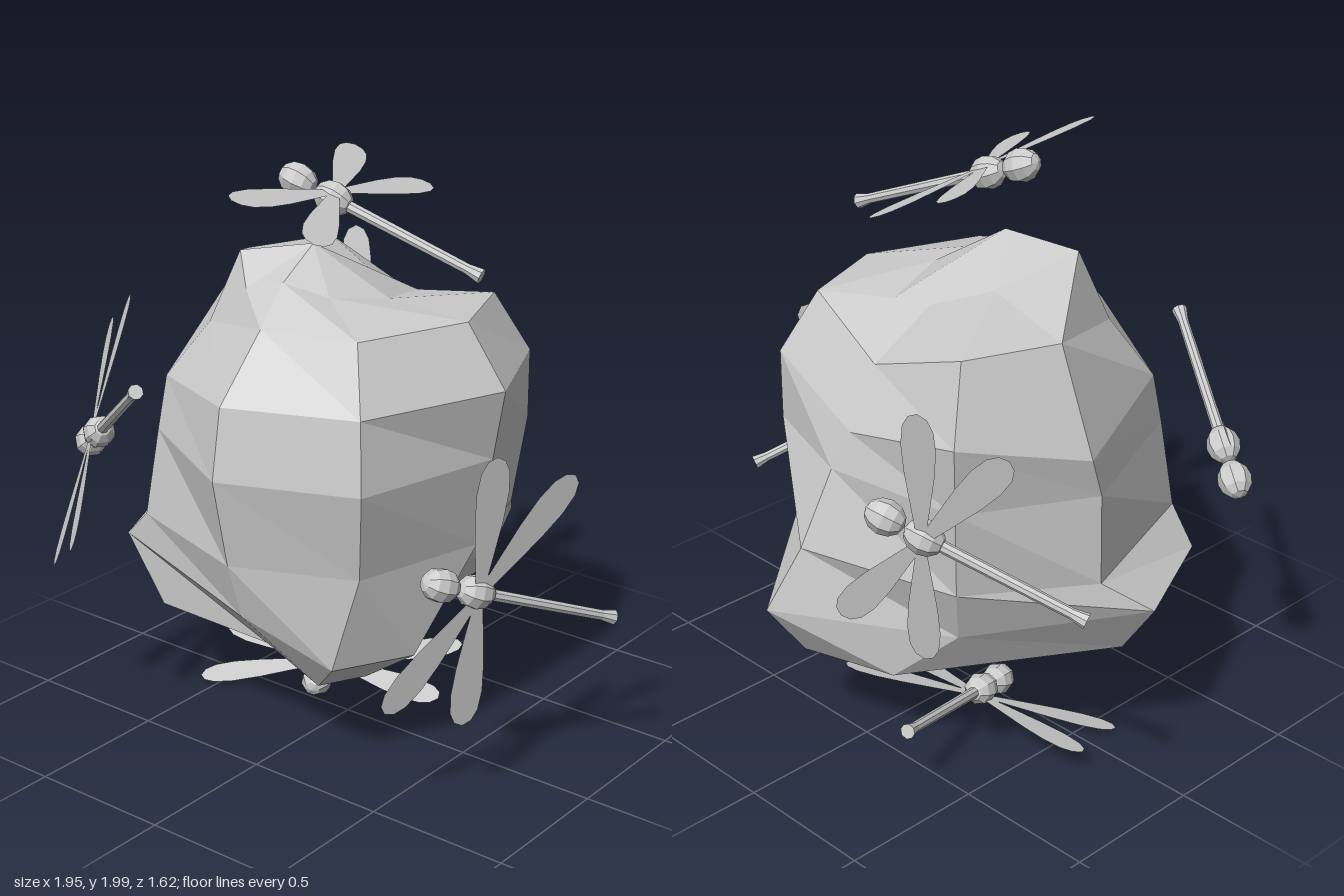
import * as THREE from 'three';

const mat = new THREE.MeshStandardMaterial({ color: 0xcccccc, flatShading: true });
const wingMat = new THREE.MeshStandardMaterial({ color: 0xcccccc, side: THREE.DoubleSide });

function addMesh(parent, name, geometry, material = mat) {
  const m = new THREE.Mesh(geometry, material);
  m.name = name;
  parent.add(m);
  return m;
}

// Faceted boulder: rings of eight radii from top to bottom, with some pulled corners
function boulderGeometry() {
  const angles = [-3, 42, 97, 140, 180, 222, 259, 308].map(THREE.MathUtils.degToRad);
  const rings = [
    { y: 1.6, cx: -0.07, cz: 0.03, r: [0.24, 0.22, 0.24, 0.25, 0.23, 0.27, 0.24, 0.22] },
    { y: 1.53, cx: 0, cz: 0, r: [0.42, 0.45, 0.45, 0.5, 0.5, 0.69, 0.63, 0.47] },
    { y: 1.32, cx: 0, cz: 0, r: [0.61, 0.59, 0.59, 0.63, 0.58, 0.79, 0.75, 0.6] },
    { y: 1.08, cx: 0, cz: 0, r: [0.65, 0.63, 0.55, 0.63, 0.62, 0.75, 0.74, 0.64] },
    { y: 0.77, cx: 0, cz: 0, r: [0.59, 0.56, 0.5, 0.58, 0.7, 0.71, 0.75, 0.69] },
    { y: 0.57, cx: 0, cz: 0, r: [0.53, 0.54, 0.46, 0.45, 0.81, 0.63, 0.85, 0.77] },
    { y: 0.43, cx: 0, cz: 0, r: [0.41, 0.38, 0.28, 0.27, 0.66, 0.6, 0.71, 0.64] },
  ];
  // ring, column, x, y, z
  const pulled = [
    [0, 0, -0.06, 1.64, 0.26], [0, 2, 0.17, 1.57, 0], [0, 3, 0.1, 1.53, -0.25],
    [0, 4, -0.06, 1.55, -0.24], [0, 5, -0.24, 1.62, -0.13], [0, 6, -0.31, 1.69, 0.18],
    [0, 7, -0.2, 1.6, 0.28],
    [1, 4, -0.06, 1.42, -0.48], [1, 5, -0.47, 1.57, -0.5], [1, 6, -0.59, 1.57, -0.19],
    [1, 7, -0.38, 1.45, 0.26],
    [2, 4, -0.06, 1.22, -0.59], [2, 6, -0.73, 1.22, -0.19], [2, 7, -0.5, 1.26, 0.35],
    [4, 4, 0.06, 0.8, -0.71],
    [5, 1, 0.28, 0.43, 0.44], [5, 2, 0.42, 0.43, 0.18], [5, 3, 0.24, 0.56, -0.38],
    [5, 4, 0.14, 0.57, -0.8], [5, 6, -0.85, 0.66, -0.01], [5, 7, -0.66, 0.66, 0.4],
    [6, 1, 0.15, 0.3, 0.35], [6, 2, 0.22, 0.29, 0.18], [6, 3, 0.2, 0.43, -0.18],
    [6, 4, 0.12, 0.37, -0.66], [6, 5, -0.22, 0.38, -0.57], [6, 6, -0.71, 0.46, 0],
  ];
  const grid = rings.map(({ y, cx, cz, r }) =>
    r.map((d, j) => [cx + d * Math.sin(angles[j]), y, cz + d * Math.cos(angles[j])]));
  for (const [i, j, ...p] of pulled) grid[i][j] = p;

  const points = [...grid.flat(), [-0.08, 1.73, 0.08], [0, 0.4, 0.05]];
  const n = angles.length, top = points.length - 2, bottom = points.length - 1;
  const last = (rings.length - 1) * n;
  const index = [];
  for (let j = 0; j < n; j++) {
    const k = (j + 1) % n;
    index.push(top, j, k, bottom, last + k, last + j);
    for (let a = 0; a < last; a += n) {
      index.push(a + j, a + n + j, a + n + k, a + j, a + n + k, a + k);
    }
  }
  const g = new THREE.BufferGeometry();
  g.setAttribute('position', new THREE.Float32BufferAttribute(points.flat(), 3));
  g.setIndex(index);
  const flat = g.toNonIndexed();
  flat.computeVertexNormals();
  return flat;
}

// Teardrop wing along +x
function wingGeometry() {
  const half = [[0.02, 0.015], [0.13, 0.031], [0.26, 0.049], [0.36, 0.056], [0.43, 0.049], [0.468, 0.03]];
  const outline = [...half, [0.483, 0], ...half.slice().reverse().map(([x, y]) => [x, -y])];
  return new THREE.ShapeGeometry(new THREE.Shape(outline.map(([x, y]) => new THREE.Vector2(x, y))));
}

// Local frame: y runs towards the tail, x across the wings, z is the back
function createDragonfly() {
  const g = new THREE.Group();
  g.name = 'dragonfly';
  const ball = new THREE.SphereGeometry(0.057, 8, 6).scale(1, 1.18, 1);
  addMesh(g, 'thorax', ball);
  addMesh(g, 'head', ball).position.y = -0.134;

  // Slim tail with a flared tip
  const profile = [[0, 0.03], [0.02, 0.03], [0.018, 0.5], [0.026, 0.55], [0, 0.55]];
  addMesh(g, 'tail', new THREE.LatheGeometry(profile.map(([r, y]) => new THREE.Vector2(r, y)), 8));

  const wing = wingGeometry();
  for (const degrees of [18, -18, 162, 198]) {
    const w = addMesh(g, 'wing', wing, wingMat);
    w.rotation.z = THREE.MathUtils.degToRad(degrees);
    w.position.z = 0.025;
  }
  return g;
}

export function createModel() {
  const model = new THREE.Group();
  model.name = 'boulderWithDragonflies';
  addMesh(model, 'boulder', boulderGeometry());

  // Thorax position, tail direction, wing direction
  const placements = [
    { at: [0.01, 1.895, 0.088], tail: [0.91, -0.36, -0.22], across: [0.26, 0.01, 0.965] },
    { at: [0.73, 0.785, 0.28], tail: [0.41, -0.35, -0.84], across: [-0.27, -0.92, 0.27] },
    { at: [-0.715, 1.04, 0.465], tail: [0.74, 0.54, 0.42], across: [0.23, -0.78, 0.59] },
    { at: [-0.505, 1.06, -0.69], tail: [-0.82, -0.36, 0.43], across: [0.4, -0.91, 0.01] },
    { at: [-0.195, 0.12, -0.14], tail: [-0.31, 0.265, -0.92], across: [-0.96, -0.08, 0.3] },
  ];
  for (const { at, tail, across } of placements) {
    const y = new THREE.Vector3(...tail).normalize();
    const z = new THREE.Vector3(...across).cross(y).normalize();
    const x = y.clone().cross(z);
    const d = createDragonfly();
    d.quaternion.setFromRotationMatrix(new THREE.Matrix4().makeBasis(x, y, z));
    d.position.set(...at);
    model.add(d);
  }
  return model;
}
